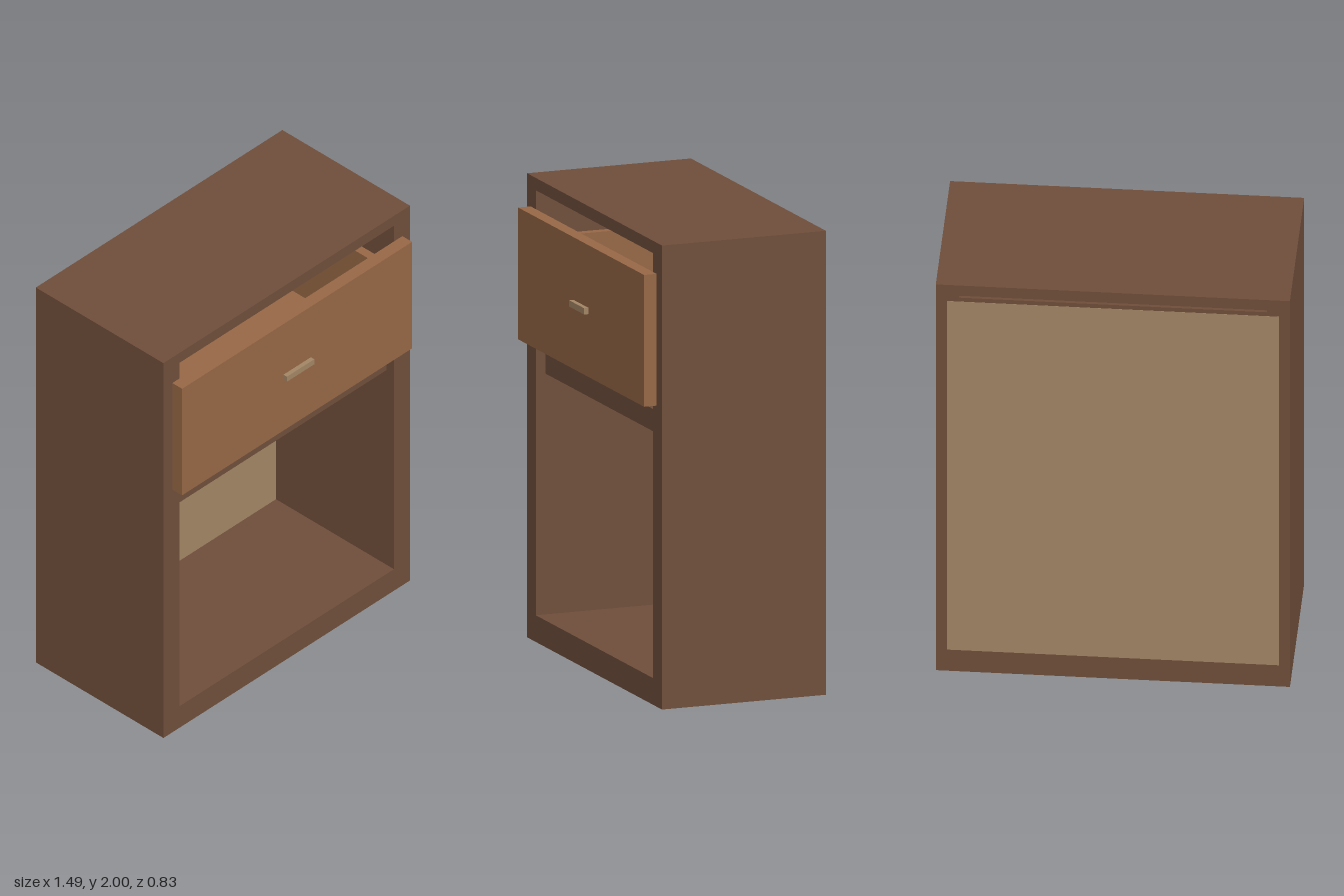
import * as THREE from 'three';

const darkWood = new THREE.MeshStandardMaterial({ name: 'darkWood', color: 0x6f4e3a });
const drawerWood = new THREE.MeshStandardMaterial({ name: 'drawerWood', color: 0x966745 });
const paleWood = new THREE.MeshStandardMaterial({ name: 'paleWood', color: 0xa28565 });

// Box given by its limits on each axis
function board(parent, name, material, [x0, x1], [y0, y1], [z0, z1]) {
  const mesh = new THREE.Mesh(new THREE.BoxGeometry(x1 - x0, y1 - y0, z1 - z0), material);
  mesh.position.set((x0 + x1) / 2, (y0 + y1) / 2, (z0 + z1) / 2);
  mesh.name = name;
  parent.add(mesh);
}

// Same board on the left (+x) and the right (-x)
function boardPair(parent, name, material, [x0, x1], y, z) {
  board(parent, 'left' + name, material, [x0, x1], y, z);
  board(parent, 'right' + name, material, [-x1, -x0], y, z);
}

export function createModel() {
  const model = new THREE.Group();
  model.name = 'cabinet';

  // Carcass
  const carcass = new THREE.Group();
  carcass.name = 'carcass';
  const inner = [-0.65, 0.65];
  const depth = [-0.413, 0.332];
  boardPair(carcass, 'SidePanel', darkWood, [0.65, 0.747], [0, 2], depth);
  board(carcass, 'topPanel', darkWood, inner, [1.947, 2], depth);
  board(carcass, 'basePanel', darkWood, inner, [0, 0.115], depth);
  board(carcass, 'middleShelf', darkWood, inner, [1.153, 1.249], [-0.36, 0.288]);
  // Thin rail leaves a narrow slot under the top
  board(carcass, 'backRail', darkWood, inner, [1.85, 1.937], [-0.413, -0.38]);
  // Back panel overlaps the rear edges of the sides
  board(carcass, 'backPanel', paleWood, inner, [0.11, 1.917], [-0.414, -0.357]);
  boardPair(carcass, 'BackPanelLip', paleWood, [0.65, 0.7], [0.11, 1.917], [-0.414, -0.41]);

  // Drawer, slightly open
  const drawer = new THREE.Group();
  drawer.name = 'drawer';
  board(drawer, 'drawerFront', drawerWood, [-0.697, 0.697], [1.3, 1.868], [0.336, 0.393]);
  boardPair(drawer, 'DrawerSide', drawerWood, [0.59, 0.63], [1.305, 1.757], [-0.35, 0.336]);
  board(drawer, 'drawerBack', drawerWood, [-0.59, 0.59], [1.305, 1.757], [-0.35, -0.31]);
  board(drawer, 'drawerBottom', drawerWood, [-0.59, 0.59], [1.305, 1.345], [-0.31, 0.336]);
  board(drawer, 'handle', paleWood, [-0.083, 0.083], [1.571, 1.598], [0.393, 0.413]);
  boardPair(drawer, 'Runner', paleWood, [0.32, 0.515], [1.265, 1.305], [-0.3, 0.3]);

  model.add(carcass, drawer);
  return model;
}
